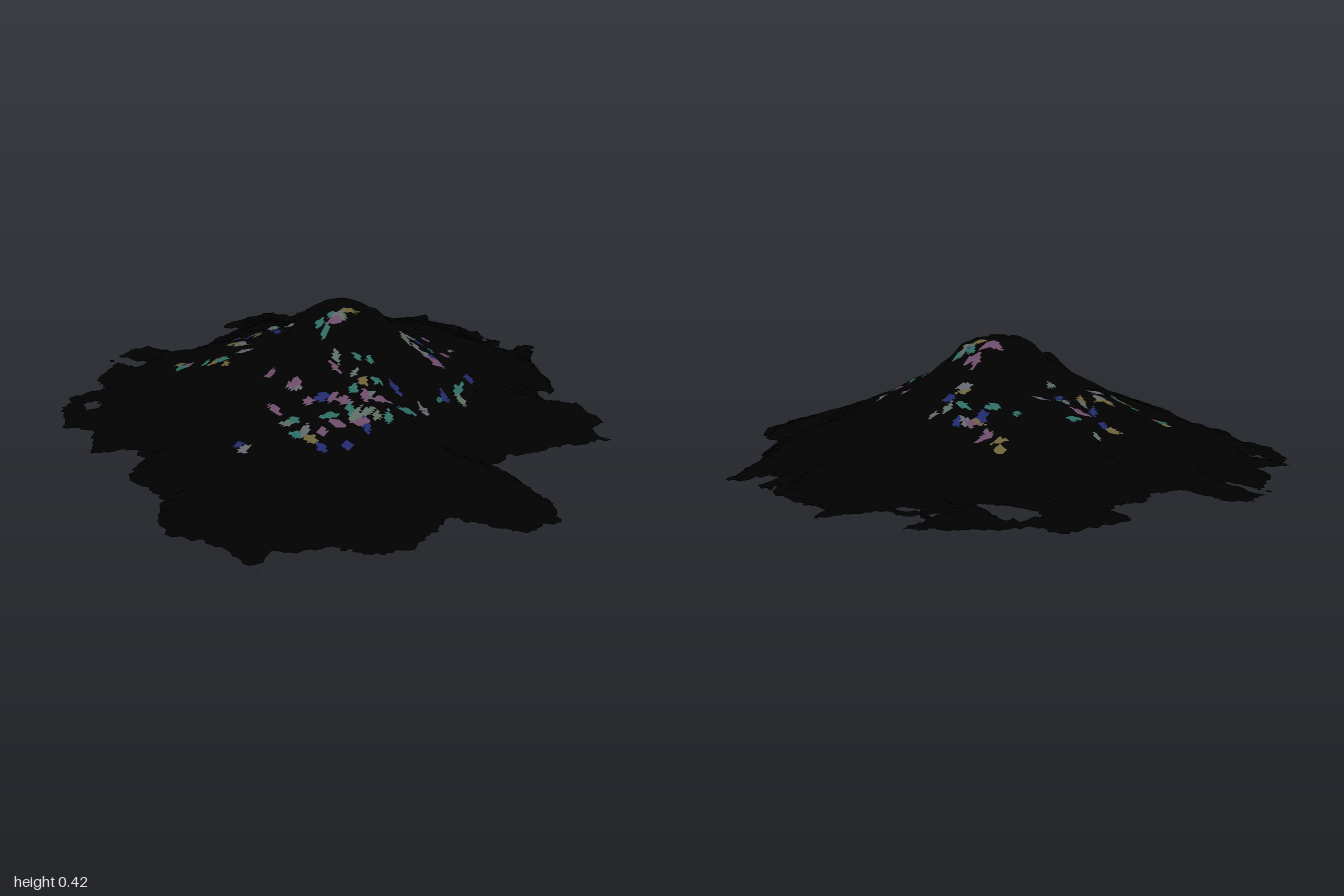
import * as THREE from 'three';
import { mergeVertices } from 'three/addons/utils/BufferGeometryUtils.js';

// Coastline in x, z
const coast = [
  -0.21, -0.97, -0.17, -0.91, 0.03, -0.93, 0.20, -0.92, 0.20, -0.82, 0.28, -0.82, 0.29, -0.93, 0.33, -0.95,
  0.40, -0.81, 0.54, -0.69, 0.60, -0.61, 0.54, -0.59, 0.62, -0.50, 0.73, -0.57, 0.84, -0.50, 0.84, -0.42,
  0.91, -0.40, 0.87, -0.33, 0.78, -0.24, 0.76, -0.17, 0.70, -0.09, 0.68, 0.02, 0.79, 0.04, 0.94, 0.10,
  1.00, 0.17, 0.95, 0.29, 0.73, 0.36, 0.73, 0.56, 0.66, 0.65, 0.54, 0.71, 0.41, 0.82, 0.43, 0.91,
  0.27, 0.90, 0.10, 0.95, 0.02, 0.91, -0.04, 0.82, -0.24, 0.79, -0.28, 0.67, -0.35, 0.65, -0.45, 0.76,
  -0.58, 0.65, -0.67, 0.69, -0.77, 0.62, -0.86, 0.52, -0.78, 0.41, -0.88, 0.36, -0.94, 0.21, -1.00, 0.20,
  -0.82, 0.20, -0.83, 0.14, -0.98, 0.16, -1.00, 0.08, -0.94, 0.02, -0.77, 0.02, -0.73, -0.08, -0.77, -0.16,
  -0.74, -0.27, -0.79, -0.35, -0.86, -0.33, -0.81, -0.56, -0.69, -0.59, -0.68, -0.65, -0.47, -0.85,
  -0.46, -0.77, -0.40, -0.74, -0.37, -0.78, -0.29, -0.80,
];
// Gaps where the ground dips away
const gaps = [
  [-0.68, -0.53, -0.64, -0.62, -0.53, -0.60, -0.42, -0.62, -0.43, -0.53, -0.61, -0.47],
  [-0.50, -0.70, -0.47, -0.75, -0.41, -0.72, -0.45, -0.67],
  [-0.38, -0.72, -0.35, -0.76, -0.28, -0.78, -0.31, -0.72, -0.37, -0.69],
  [-0.78, 0.52, -0.73, 0.49, -0.67, 0.53, -0.71, 0.57],
  [0.09, -0.88, 0.13, -0.91, 0.16, -0.87, 0.13, -0.84],
];
// Every shore segment as [x1, z1, x2, z2]
const shore = [coast, ...gaps].flatMap((p) => {
  const n = p.length;
  return Array.from({ length: n / 2 }, (_, i) => [p[2 * i], p[2 * i + 1], p[(2 * i + 2) % n], p[(2 * i + 3) % n]]);
});

// Smooth value noise in -1..1
function hash(i, j) {
  const s = Math.sin(i * 127.1 + j * 311.7) * 43758.5453;
  return 2 * (s - Math.floor(s)) - 1;
}
function noise(x, z) {
  const i = Math.floor(x), j = Math.floor(z);
  const s = THREE.MathUtils.smoothstep(x - i, 0, 1), t = THREE.MathUtils.smoothstep(z - j, 0, 1);
  const { lerp } = THREE.MathUtils;
  return lerp(lerp(hash(i, j), hash(i + 1, j), s), lerp(hash(i, j + 1), hash(i + 1, j + 1), s), t);
}

// Distance to the shore, positive on land
function shoreDistance(x, z) {
  let inside = false, best = Infinity;
  for (const [ax, az, bx, bz] of shore) {
    if ((az > z) !== (bz > z) && x < ax + ((z - az) * (bx - ax)) / (bz - az)) inside = !inside;
    const dx = bx - ax, dz = bz - az;
    const t = THREE.MathUtils.clamp(((x - ax) * dx + (z - az) * dz) / (dx * dx + dz * dz), 0, 1);
    best = Math.min(best, Math.hypot(x - ax - t * dx, z - az - t * dz));
  }
  const ragged = 0.009 * noise(x * 34, z * 34) + 0.012 * noise(x * 65 + 9, z * 65);
  return (inside ? best : -best) + ragged;
}

// Piecewise linear profile through [position, height] points
function profile(points, v) {
  for (let i = 1; i < points.length; i++) {
    const [a, ha] = points[i - 1], [b, hb] = points[i];
    if (v <= b) return ha + ((hb - ha) * Math.max(0, v - a)) / (b - a);
  }
  return points[points.length - 1][1];
}
const peakProfile = [[0, 0.425], [0.08, 0.42], [0.13, 0.39], [0.18, 0.335], [0.25, 0.295], [0.32, 0.26], [0.4, 0.215],
  [0.5, 0.17], [0.6, 0.138], [0.7, 0.1], [0.8, 0.062], [0.9, 0.032], [1, 0.01]];
// The ground rises quickly from the shore, then follows the mountain slope
const beachProfile = [[0, 0.004], [0.03, 0.032], [0.07, 0.062], [0.15, 0.105], [0.25, 0.16], [0.35, 0.23], [0.5, 0.34], [0.7, 0.5]];

function height(x, z, d) {
  const r = Math.hypot(x - 0.025, z + 0.02);
  const knoll = 0.065 * Math.exp(-((x - 0.03) ** 2 + (z - 0.27) ** 2) / 0.005);
  const hollow = 0.045 * Math.exp(-((x + 0.2) ** 2) / 0.005 - z * z / 0.06);
  const ridges = 0.98 + 0.02 * Math.max(0, 1 - r * 3)
    + Math.min(1, r * 3) * (0.05 * noise(x * 7, z * 7) + 0.035 * noise(x * 15 + 4, z * 15));
  const slope = (profile(peakProfile, r) + knoll - hollow) * ridges + 0.004 * noise(x * 30, z * 30);
  return Math.max(0, Math.min(slope, profile(beachProfile, d)));
}

// Coloured flecks, scattered in clusters: x, z, half width, half depth, count
const clusters = [
  [-0.17, -0.32, 0.11, 0.11, 15], [0.28, -0.25, 0.08, 0.12, 11], [-0.38, -0.03, 0.13, 0.07, 10],
  [-0.31, 0.14, 0.12, 0.13, 12], [-0.5, 0.27, 0.03, 0.02, 3], [0.02, -0.02, 0.07, 0.16, 14],
  [0.2, 0.2, 0.23, 0.16, 34], [0.22, 0.43, 0.16, 0.04, 9], [0.08, 0.57, 0.02, 0.04, 2],
  [0.43, -0.12, 0.05, 0.12, 5], [-0.34, -0.35, 0.03, 0.02, 2],
];
const fleckColors = [0x5a6a60, 0x6a4a66, 0x20286a, 0x2c6a62, 0x6a6038, 0x62646c];

let seed = 7;
function random() {
  seed = (seed * 16807) % 2147483647;
  return seed / 2147483647;
}

function createFlecks() {
  return clusters.flatMap(([cx, cz, w, d, count]) => Array.from({ length: count }, () => ({
    x: cx + w * (2 * random() - 1),
    z: cz + d * (2 * random() - 1),
    angle: random() * Math.PI,
    long: 0.022 + 0.018 * random(),
    wide: 0.012 + 0.007 * random(),
    color: Math.floor(random() * fleckColors.length),
  })));
}

function fleckAt(flecks, x, z) {
  const hit = flecks.find((f) => {
    const c = Math.cos(f.angle), s = Math.sin(f.angle), dx = x - f.x, dz = z - f.z;
    return Math.abs(c * dx + s * dz) / f.long + Math.abs(c * dz - s * dx) / f.wide < 1;
  });
  return hit ? hit.color : -1;
}

export function createModel() {
  const group = new THREE.Group();
  group.name = 'moundIsland';

  // Sample the ground on a square grid
  const N = 200, step = 2.06 / N;
  const grid = [];
  for (let j = 0; j <= N; j++) {
    for (let i = 0; i <= N; i++) {
      const x = -1.03 + i * step, z = -1.03 + j * step, d = shoreDistance(x, z);
      grid.push({ x, z, d, y: height(x, z, d) });
    }
  }

  // Keep the land side of each triangle, cut cleanly along the shore
  const flecks = createFlecks();
  const positions = [], colors = [];
  function addClipped(tri) {
    const poly = [];
    tri.forEach((a, k) => {
      const b = tri[(k + 1) % 3];
      if (a.d >= 0) poly.push([a.x, a.y, a.z]);
      if ((a.d >= 0) !== (b.d >= 0)) {
        const t = a.d / (a.d - b.d);
        poly.push([a.x + t * (b.x - a.x), a.y + t * (b.y - a.y), a.z + t * (b.z - a.z)]);
      }
    });
    for (let k = 2; k < poly.length; k++) {
      const [p, q, r] = [poly[0], poly[k - 1], poly[k]];
      positions.push(...p, ...q, ...r);
      colors.push(fleckAt(flecks, (p[0] + q[0] + r[0]) / 3, (p[2] + q[2] + r[2]) / 3));
    }
  }
  for (let j = 0; j < N; j++) {
    for (let i = 0; i < N; i++) {
      const a = grid[j * (N + 1) + i], b = grid[j * (N + 1) + i + 1];
      const c = grid[(j + 1) * (N + 1) + i], e = grid[(j + 1) * (N + 1) + i + 1];
      addClipped([a, c, b]);
      addClipped([b, c, e]);
    }
  }

  // Smooth normals over the whole ground, then split by colour
  let ground = new THREE.BufferGeometry();
  ground.setAttribute('position', new THREE.Float32BufferAttribute(positions, 3));
  ground = mergeVertices(ground, 1e-5);
  ground.computeVertexNormals();
  ground = ground.toNonIndexed();

  [-1, ...fleckColors.keys()].forEach((index) => {
    const geometry = new THREE.BufferGeometry();
    for (const name of ['position', 'normal']) {
      const source = ground.attributes[name].array, part = [];
      colors.forEach((c, t) => { if (c === index) part.push(...source.subarray(t * 9, t * 9 + 9)); });
      geometry.setAttribute(name, new THREE.Float32BufferAttribute(part, 3));
    }
    const color = index < 0 ? 0x000000 : fleckColors[index];
    const mesh = new THREE.Mesh(geometry, new THREE.MeshStandardMaterial({ color, side: THREE.DoubleSide }));
    mesh.name = index < 0 ? 'ground' : `groundFlecks${index + 1}`;
    group.add(mesh);
  });
  return group;
}
